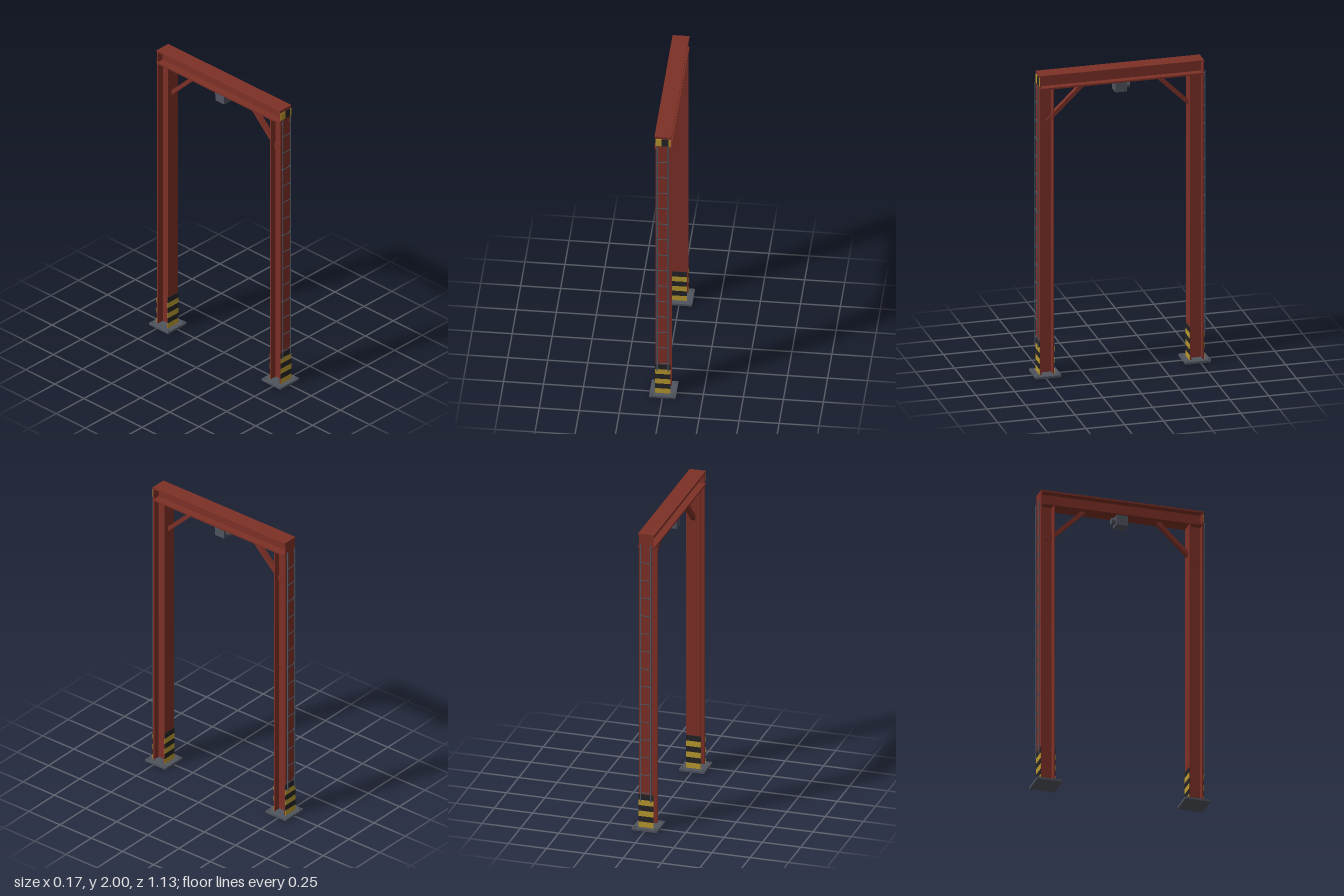
import * as THREE from 'three';

const mat = (name, color) => {
  const m = new THREE.MeshStandardMaterial({ color });
  m.name = name;
  return m;
};

export function createModel() {
  const red = mat('oxide red paint', 0x7d3026);
  const steel = mat('grey steel', 0x50545e);
  const ladderSteel = mat('ladder steel', 0x4c5866);
  const yellow = mat('hazard yellow', 0xb8982f);
  const black = mat('hazard black', 0x242426);

  const model = new THREE.Group();
  model.name = 'gantryFrame';

  const add = (parent, name, geometry, material, x, y, z) => {
    const mesh = new THREE.Mesh(geometry, material);
    mesh.name = name;
    mesh.position.set(x, y, z);
    parent.add(mesh);
    return mesh;
  };
  const box = (parent, name, material, [w, h, d], [x, y, z]) =>
    add(parent, name, new THREE.BoxGeometry(w, h, d), material, x, y, z);

  // I-section in the XY plane, flanges at top and bottom, extruded along z
  const iSection = (width, height, flange, web, length) => {
    const a = width / 2, b = height / 2, c = b - flange, w = web / 2;
    const shape = new THREE.Shape([
      [-a, -b], [a, -b], [a, -c], [w, -c], [w, c], [a, c],
      [a, b], [-a, b], [-a, c], [-w, c], [-w, -c], [-a, -c],
    ].map(([x, y]) => new THREE.Vector2(x, y)));
    return new THREE.ExtrudeGeometry(shape, { depth: length, bevelEnabled: false })
      .translate(0, 0, -length / 2);
  };

  // Top beam with closed ends
  add(model, 'beam', iSection(0.106, 0.095, 0.011, 0.012, 1.06), red, 0, 1.9525, 0);
  for (const s of [-1, 1]) {
    box(model, 'beamEndPlate', red, [0.094, 0.073, 0.008], [0, 1.9525, s * 0.526]);
  }
  // Warning marks on the front end of the beam
  for (const [x0, x1, m] of [[-0.047, -0.008, yellow], [-0.008, 0.036, black], [0.036, 0.047, yellow]]) {
    box(model, 'beamEndMark', m, [x1 - x0, 0.052, 0.004], [(x0 + x1) / 2, 1.956, 0.532]);
  }

  // One leg, drawn on the +z side; the other is the same turned half round
  const buildLeg = () => {
    const leg = new THREE.Group();
    leg.name = 'leg';

    // Base plate and anchor bolts
    box(leg, 'basePlate', steel, [0.166, 0.014, 0.166], [0, 0.007, 0.483]);
    for (const x of [-0.067, 0.067]) {
      for (const z of [0.416, 0.55]) {
        add(leg, 'anchorBolt', new THREE.CylinderGeometry(0.006, 0.006, 0.008, 6), steel, x, 0.017, z);
      }
    }

    // H-section column, flanges facing front and back
    const column = iSection(0.094, 0.092, 0.009, 0.01, 1.895).rotateX(-Math.PI / 2);
    add(leg, 'column', column, red, 0, 0.0135 + 1.895 / 2, 0.484);

    // Hazard bands on both flange faces
    const bandHeight = 0.0368;
    for (let i = 0; i < 6; i++) {
      for (const z of [0.4365, 0.5315]) {
        box(leg, 'hazardBand', i % 2 ? black : yellow, [0.096, bandHeight, 0.003],
          [0, 0.014 + bandHeight * (i + 0.5), z]);
      }
    }

    // Diagonal brace from column to beam
    const foot = new THREE.Vector3(0, 1.675, 0.478);
    const head = new THREE.Vector3(0, 1.905, 0.242);
    const brace = box(leg, 'brace', red, [0.03, foot.distanceTo(head), 0.026],
      foot.clone().add(head).multiplyScalar(0.5).toArray());
    brace.quaternion.setFromUnitVectors(new THREE.Vector3(0, 1, 0), head.clone().sub(foot).normalize());

    // Ladder on the outer face
    const ladder = new THREE.Group();
    ladder.name = 'ladder';
    leg.add(ladder);
    for (const x of [-0.034, 0.034]) {
      box(ladder, 'ladderRail', ladderSteel, [0.007, 1.74, 0.005], [x, 1.06, 0.5395]);
      for (const y of [0.25, 0.61, 1.09, 1.57, 1.9]) {
        box(ladder, 'ladderBracket', ladderSteel, [0.006, 0.006, 0.011], [x, y, 0.535]);
      }
    }
    for (let i = 0; i < 14; i++) {
      const rung = new THREE.CylinderGeometry(0.0028, 0.0028, 0.068, 6).rotateZ(Math.PI / 2);
      add(ladder, 'ladderRung', rung, ladderSteel, 0, 0.25 + i * 0.12, 0.5405);
    }
    return leg;
  };
  const frontLeg = buildLeg();
  frontLeg.name = 'frontLeg';
  const backLeg = buildLeg();
  backLeg.name = 'backLeg';
  backLeg.rotation.y = Math.PI;
  model.add(frontLeg, backLeg);

  // Hoist under the beam, with its motor towards the back
  const hoist = new THREE.Group();
  hoist.name = 'hoist';
  model.add(hoist);
  box(hoist, 'hoistHousing', steel, [0.08, 0.068, 0.074], [0, 1.872, 0.003]);
  add(hoist, 'hoistMotor', new THREE.CylinderGeometry(0.022, 0.022, 0.026, 14).rotateX(Math.PI / 2),
    steel, 0, 1.872, -0.046);

  return model;
}
